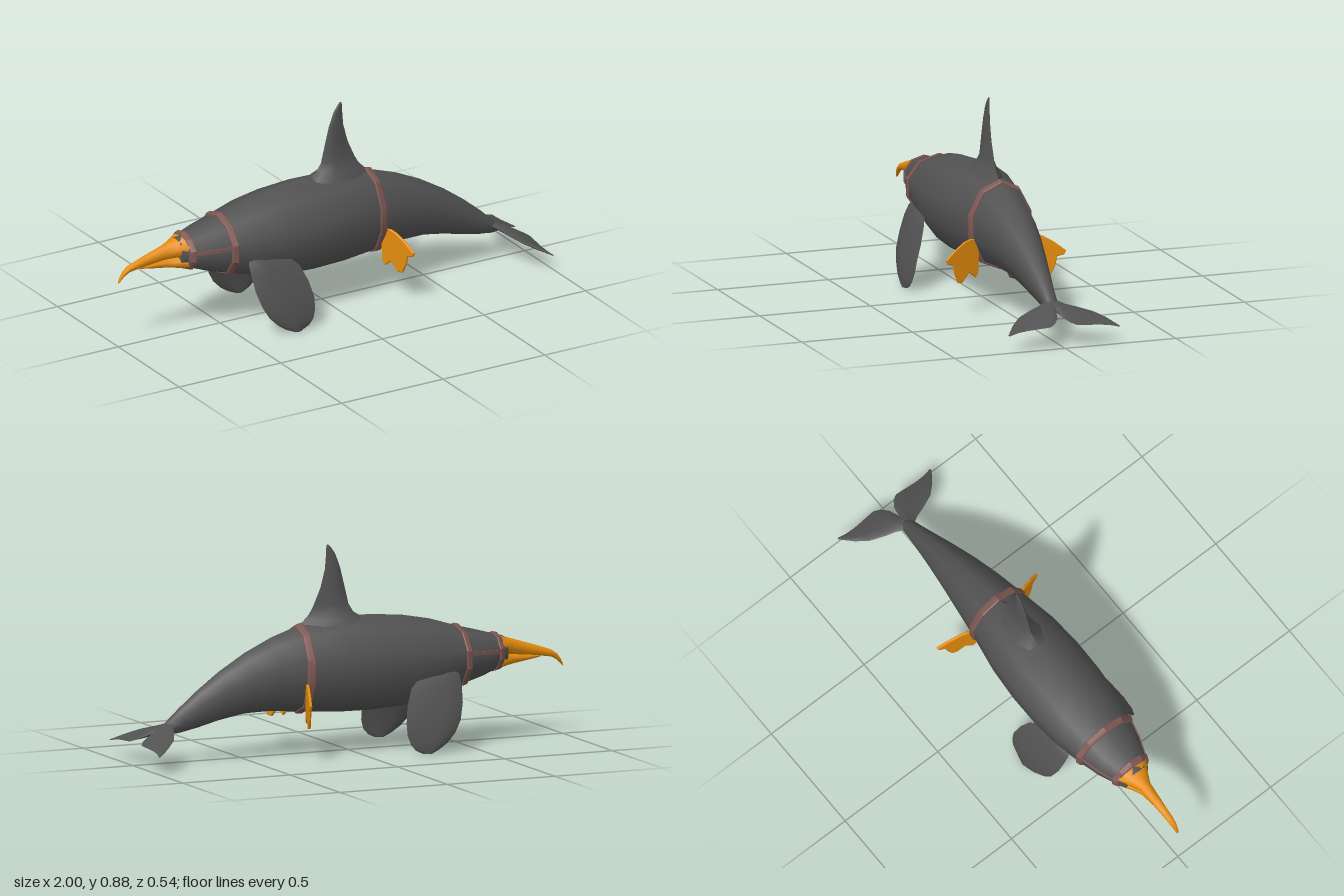
import * as THREE from 'three';
import { toCreasedNormals } from 'three/addons/utils/BufferGeometryUtils.js';

const skin = new THREE.MeshStandardMaterial({ color: 0x525252 });
const orange = new THREE.MeshStandardMaterial({ color: 0xe58c0c });
const leather = new THREE.MeshStandardMaterial({ color: 0x7d5752 });

// Skin closed rings of [x, y, z] points; rings are capped unless the loft loops back on itself
function loft(rings, { loop = false, crease = 1.1 } = {}) {
  const n = rings[0].length, m = rings.length;
  const pos = rings.flat(), idx = [];
  for (let i = 0; i < (loop ? m : m - 1); i++) {
    for (let j = 0; j < n; j++) {
      const k = (j + 1) % n, p = i * n, q = ((i + 1) % m) * n;
      idx.push(p + j, q + j, q + k, p + j, q + k, p + k);
    }
  }
  if (!loop) {
    for (const r of [0, m - 1]) {
      const c = pos.length;
      pos.push([0, 1, 2].map(a => rings[r].reduce((s, p) => s + p[a], 0) / n));
      for (let j = 0; j < n; j++) {
        const a = r * n + j, b = r * n + (j + 1) % n;
        idx.push(...(r === 0 ? [c, a, b] : [c, b, a]));
      }
    }
  }
  // Turn the faces outwards
  let volume = 0;
  const v = idx.map(i => new THREE.Vector3(...pos[i]));
  for (let i = 0; i < v.length; i += 3) volume += v[i].dot(v[i + 1].clone().cross(v[i + 2]));
  if (volume < 0) idx.reverse();
  const g = new THREE.BufferGeometry();
  g.setAttribute('position', new THREE.Float32BufferAttribute(pos.flat(), 3));
  g.setIndex(idx);
  return toCreasedNormals(g, crease);
}

// Ten-sided body cross-section: half width and height fraction
const half = [[0, 1], [0.62, 0.9], [1, 0.64], [1, 0.36], [0.62, 0.09], [0, 0]];
const profile = [...half, ...half.slice(1, 5).reverse().map(([w, h]) => [-w, h])];
const bodyRing = ([x, bottom, top, w], grow = 0) => profile.map(([pw, ph]) =>
  [x, bottom - grow + ph * (top - bottom + 2 * grow), pw * (w + grow)]);

// Lens-shaped fin cross-section: chord fraction and thickness fraction
const lens = [[0, 0], [0.1, 0.65], [0.35, 1], [0.7, 0.7], [1, 0.05],
  [0.7, -0.7], [0.35, -1], [0.1, -0.65]];

// Body stations: x, bottom, top, half width
const stations = [
  [-0.72, 0.31, 0.44, 0.062], [-0.685, 0.302, 0.448, 0.08], [-0.6, 0.268, 0.472, 0.112],
  [-0.5, 0.238, 0.498, 0.137], [-0.38, 0.2, 0.535, 0.16], [-0.25, 0.172, 0.56, 0.17],
  [-0.1, 0.163, 0.573, 0.171], [0.05, 0.165, 0.573, 0.16], [0.23, 0.178, 0.547, 0.129],
  [0.36, 0.19, 0.503, 0.109], [0.48, 0.188, 0.447, 0.088], [0.6, 0.167, 0.375, 0.066],
  [0.7, 0.142, 0.302, 0.048], [0.78, 0.126, 0.235, 0.035], [0.83, 0.121, 0.188, 0.029],
  [0.87, 0.128, 0.152, 0.02]];

function stationAt(x) {
  let i = 0;
  while (i < stations.length - 2 && stations[i + 1][0] < x) i++;
  const a = stations[i], b = stations[i + 1], t = (x - a[0]) / (b[0] - a[0]);
  return a.map((v, k) => v + (b[k] - v) * t);
}

export function createModel() {
  const model = new THREE.Group();
  const add = (name, geometry, material, mirrored = false) => {
    const mesh = new THREE.Mesh(geometry, material);
    mesh.name = name;
    if (mirrored) mesh.scale.z = -1;
    model.add(mesh);
  };
  const addPair = (name, geometry, material) => {
    add(name + 'Left', geometry, material);
    add(name + 'Right', geometry, material, true);
  };

  add('body', loft(stations.map(s => bodyRing(s))), skin);

  // Dorsal fin: y, leading x, trailing x, half thickness
  const dorsal = [[0.52, -0.12, 0.25, 0.085], [0.565, -0.065, 0.205, 0.055], [0.59, -0.025, 0.18, 0.034],
    [0.625, -0.003, 0.16, 0.019], [0.7, 0.015, 0.127, 0.015], [0.78, 0.035, 0.106, 0.011],
    [0.84, 0.057, 0.101, 0.008], [0.87, 0.077, 0.1, 0.005], [0.884, 0.09, 0.097, 0.002]];
  add('dorsalFin', loft(dorsal.map(([y, a, b, h]) =>
    lens.map(([u, t]) => [a + u * (b - a), y, t * h]))), skin);

  // Flippers: y, front x, rear x, centre z
  const flipper = [[0.345, -0.43, -0.34, 0.13], [0.31, -0.45, -0.26, 0.155], [0.27, -0.45, -0.215, 0.175],
    [0.2, -0.443, -0.185, 0.2], [0.13, -0.422, -0.17, 0.224], [0.08, -0.393, -0.171, 0.233],
    [0.04, -0.353, -0.184, 0.24], [0.015, -0.315, -0.207, 0.242], [0, -0.28, -0.24, 0.242]];
  addPair('flipper', loft(flipper.map(([y, a, b, z]) =>
    lens.map(([u, t]) => [a + u * (b - a), y, z + t * 0.014]))), skin);

  // Tail flukes: z, leading x, trailing x, half thickness; they droop backwards and outwards
  const fluke = [[0.012, 0.805, 0.94, 0.016], [0.035, 0.825, 0.972, 0.015], [0.06, 0.84, 0.988, 0.013],
    [0.1, 0.855, 0.986, 0.011], [0.165, 0.886, 0.982, 0.008], [0.21, 0.93, 0.985, 0.006],
    [0.25, 0.985, 0.995, 0.002]];
  const flukeRows = [...fluke.map(([z, ...r]) => [-z, ...r]).reverse(), [0, 0.8, 0.892, 0.016], ...fluke];
  add('tailFlukes', loft(flukeRows.map(([z, a, b, h]) => lens.map(([u, t]) => {
    const x = a + u * (b - a);
    return [x, 0.158 - 0.4 * (x - 0.84) - 0.1 * Math.abs(z) + t * h, z];
  }))), skin);

  // False beak: hooked upper half and shorter lower half
  const upperBeak = [[-0.69, 0.355, 0.447, 0.076], [-0.74, 0.355, 0.43, 0.045], [-0.78, 0.352, 0.417, 0.026],
    [-0.85, 0.345, 0.396, 0.02], [-0.91, 0.338, 0.376, 0.016], [-0.95, 0.332, 0.361, 0.014],
    [-0.975, 0.316, 0.343, 0.011], [-0.99, 0.3, 0.322, 0.008], [-1, 0.29, 0.3, 0.004]];
  const lowerBeak = [[-0.69, 0.303, 0.37, 0.072], [-0.74, 0.311, 0.362, 0.04], [-0.78, 0.317, 0.357, 0.022],
    [-0.85, 0.328, 0.35, 0.014], [-0.895, 0.336, 0.342, 0.006]];
  add('upperBeak', loft(upperBeak.map(s => bodyRing(s))), orange);
  add('lowerBeak', loft(lowerBeak.map(s => bodyRing(s))), orange);

  // Straps around the body: centre x, half width
  for (const [name, x, w] of [['beakStrap', -0.682, 0.014], ['neckStrap', -0.505, 0.014], ['rearStrap', 0.228, 0.017]]) {
    const section = [[-w, -0.01], [-w, 0.006], [-w * 0.7, 0.009], [w * 0.7, 0.009], [w, 0.006], [w, -0.01]];
    add(name, loft(section.map(([dx, grow]) => bodyRing(stationAt(x + dx), grow)),
      { loop: true, crease: 0.5 }), leather);
  }

  // Side straps joining the beak strap to the neck strap
  const sideRows = [-0.69, -0.6, -0.5].map(x => {
    const z = stationAt(x)[3], y = 0.389 + (x + 0.6) * 0.06;
    return [[-0.008, -0.01], [-0.008, 0.006], [0.008, 0.006], [0.008, -0.01]].map(([dy, dz]) => [x, y + dy, z + dz]);
  });
  addPair('sideStrap', loft(sideRows, { crease: 0.5 }), leather);

  // Webbed feet: outline in z and y, leaning backwards away from the body
  const outline = [[0.1, 0.29], [0.118, 0.31], [0.145, 0.314], [0.175, 0.306], [0.22, 0.28], [0.267, 0.243],
    [0.261, 0.228], [0.233, 0.22], [0.225, 0.18], [0.207, 0.14], [0.186, 0.138], [0.152, 0.177],
    [0.119, 0.15], [0.108, 0.165]];
  const foot = new THREE.ExtrudeGeometry(new THREE.Shape(outline.map(p => new THREE.Vector2(...p))),
    { depth: 0.006, bevelThickness: 0.003, bevelSize: 0.003, bevelSegments: 1 });
  foot.rotateY(-Math.PI / 2);
  const p = foot.attributes.position;
  for (let i = 0; i < p.count; i++) p.setX(i, p.getX(i) + 0.251 + 0.34 * (p.getZ(i) - 0.13));
  foot.computeVertexNormals();
  addPair('webbedFoot', foot, orange);

  return model;
}
